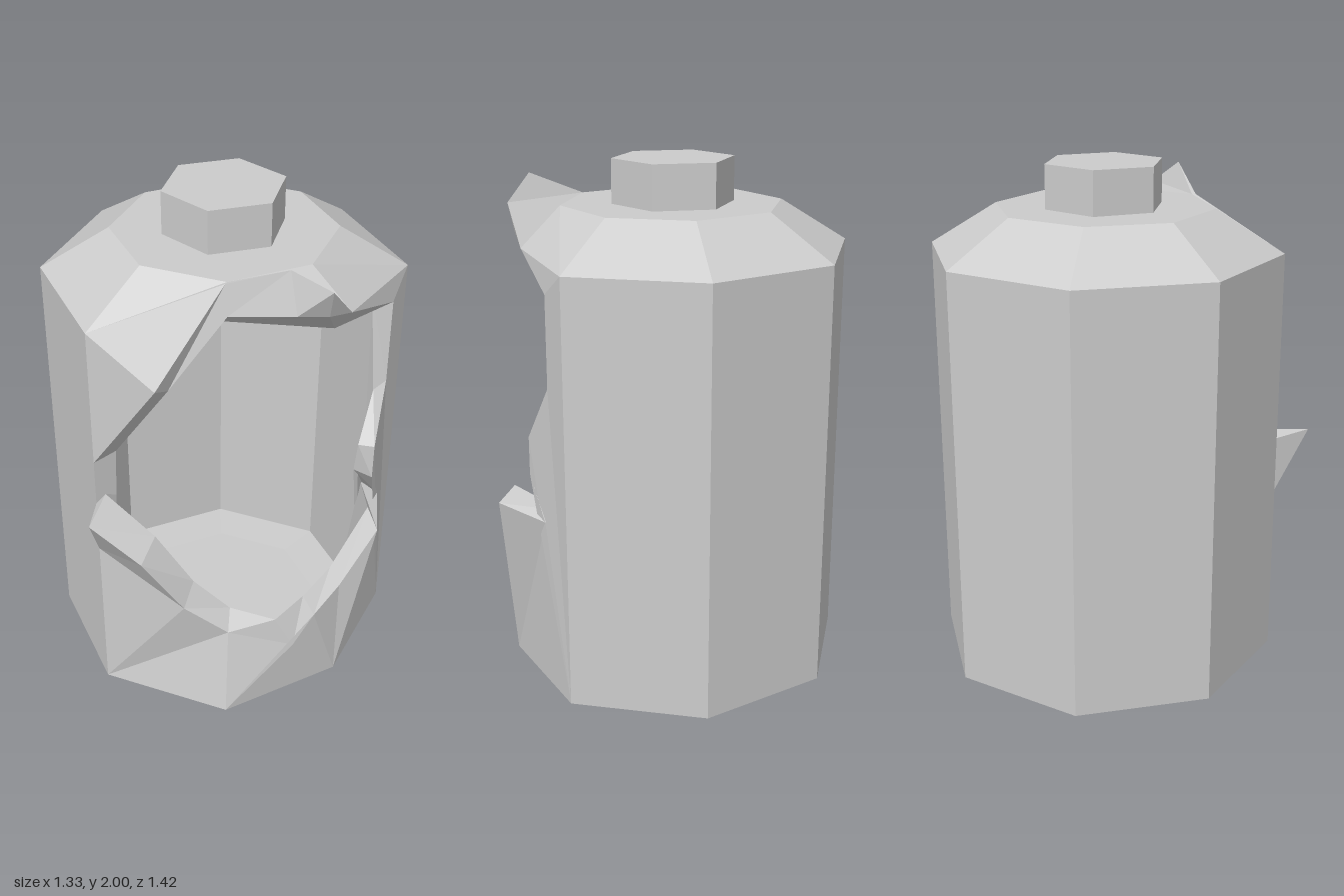
import * as THREE from 'three';

const CX = -0.012, CZ = -0.06;

// Torn edge of the hole, counterclockwise from the front flap: [outer point, inner point]
const RIM = [
  [[0.08, 0.99, 0.71], [0.0, 1.01, 0.56]],       // 0 front flap tip
  [[0.22, 0.83, 0.60], [0.20, 0.90, 0.51]],
  [[0.30, 0.59, 0.47], [0.29, 0.68, 0.41]],
  [[0.41, 0.46, 0.35], [0.38, 0.54, 0.31]],
  [[0.56, 0.36, 0.15], [0.51, 0.49, 0.20]],      // 4 lowest notch
  [[0.59, 0.48, 0.07], [0.54, 0.55, 0.08]],
  [[0.60, 0.55, -0.06], [0.55, 0.61, -0.06]],
  [[0.66, 0.78, -0.19], [0.60, 0.85, -0.20]],    // 7 side flap tip
  [[0.51, 0.77, -0.38], [0.44, 0.80, -0.36]],
  [[0.55, 0.92, -0.28], [0.47, 0.92, -0.27]],
  [[0.55, 1.06, -0.28], [0.49, 1.05, -0.26]],
  [[0.49, 1.27, -0.40], [0.45, 1.22, -0.38]],
  [[0.49, 1.60, -0.40], [0.42, 1.60, -0.37]],    // 12 upper rear corner
  [[0.54, 1.70, -0.10], [0.47, 1.61, -0.10]],
  [[0.57, 1.84, 0.04], [0.55, 1.74, 0.03]],
  [[0.48, 1.93, 0.15], [0.53, 1.79, 0.17]],      // 15 raised top flap
  [[0.28, 1.84, 0.24], [0.30, 1.73, 0.25]],
  [[0.21, 1.51, 0.50], [0.20, 1.48, 0.43]],
  [[-0.012, 1.16, 0.595], [0.0, 1.17, 0.50]],
  [[-0.012, 0.98, 0.595], [0.0, 0.98, 0.51]],    // 19 front corner
];

function meshFrom(name, triangles, material) {
  const geometry = new THREE.BufferGeometry();
  geometry.setAttribute('position', new THREE.Float32BufferAttribute(triangles.flat(2), 3));
  geometry.computeVertexNormals();
  const mesh = new THREE.Mesh(geometry, material);
  mesh.name = name;
  return mesh;
}

// Eight-sided shell with an open, torn side; rings are [radius, height, radius of dented corner]
function tornShell(rings, rim, flip) {
  const tris = [];
  const tri = (a, b, c) => tris.push(flip ? [a, c, b] : [a, b, c]);
  const quad = (a, b, c, d) => { tri(a, b, c); tri(a, c, d); };
  const [floor, base, top, deck] = rings.map(([r, y, dent]) =>
    Array.from({ length: 8 }, (_, k) => {
      const a = k * Math.PI / 4, s = k === 2 ? dent : r;
      return [CX + s * Math.sin(a), y, CZ + s * Math.cos(a)];
    }));

  // Floor, deck and bevels
  for (let k = 0; k < 8; k++) {
    const n = (k + 1) % 8;
    quad(floor[k], floor[n], base[n], base[k]);
    tri([CX, rings[0][1], CZ], floor[n], floor[k]);
    tri([CX, rings[3][1], CZ], deck[k], deck[n]);
    if (k >= 3) {
      quad(base[k], base[n], top[n], top[k]);
      quad(top[k], top[n], deck[n], deck[k]);
    }
  }
  tri(top[0], deck[1], deck[0]);
  tri(top[3], deck[3], deck[2]);

  // Buckled wall panels running from the fixed corners to the torn edge
  const hinge = [base[0][0], 0.77, base[0][2]];
  const fan = (corner, ...path) => {
    for (let i = 0; i + 1 < path.length; i++) tri(corner, path[i + 1], path[i]);
  };
  const P = (...ids) => ids.map(i => rim[i]);
  fan(hinge, ...P(19, 0, 1, 2));
  fan(base[0], hinge, ...P(2, 3));
  fan(base[1], base[0], ...P(3, 4, 5));
  fan(base[2], base[1], ...P(5, 6, 7, 8));
  fan(base[3], base[2], ...P(8, 9, 10, 11, 12));
  fan(top[3], base[3], ...P(12, 13));
  fan(deck[2], top[3], ...P(13));
  fan(deck[1], deck[2], ...P(13, 14, 15, 16));
  fan(top[0], deck[1], ...P(16, 17, 18));
  return tris;
}

export function createModel() {
  const model = new THREE.Group();
  model.name = 'tornTank';
  const metal = new THREE.MeshStandardMaterial({ color: 0xcccccc });
  metal.name = 'grey metal';
  metal.flatShading = true;
  metal.side = THREE.DoubleSide;

  // Outer and inner skins
  const outerRim = RIM.map(p => p[0]), innerRim = RIM.map(p => p[1]);
  model.add(meshFrom('outerShell', tornShell(
    [[0.405, 0, 0.405], [0.655, 0.115, 0.612], [0.655, 1.685, 0.612], [0.405, 1.84, 0.405]],
    outerRim, false), metal));
  model.add(meshFrom('innerShell', tornShell(
    [[0.4, 0.12, 0.4], [0.57, 0.125, 0.54], [0.57, 1.685, 0.54], [0.4, 1.69, 0.4]],
    innerRim, true), metal));

  // Thickness of the torn metal
  const edge = [];
  RIM.forEach(([o, i], k) => {
    const [o2, i2] = RIM[(k + 1) % RIM.length];
    edge.push([o, o2, i2], [o, i2, i]);
  });
  model.add(meshFrom('tornEdge', edge, metal));

  // Hexagonal cap
  const cap = new THREE.Mesh(new THREE.CylinderGeometry(0.224, 0.224, 0.16, 6, 1), metal);
  cap.name = 'cap';
  cap.rotation.y = Math.PI / 6;
  cap.position.set(-0.015, 1.92, CZ);
  model.add(cap);

  return model;
}
